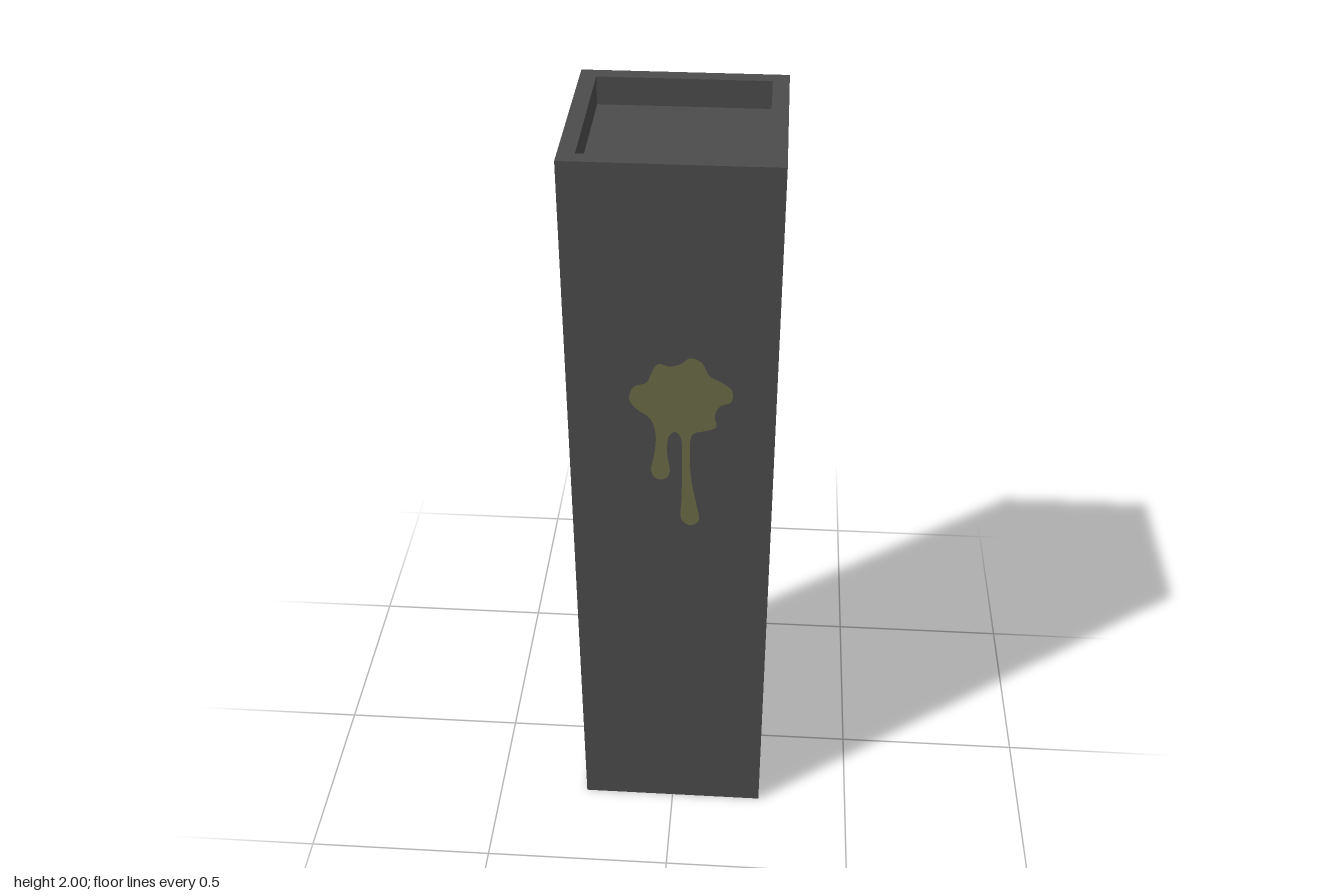
import * as THREE from 'three';

export function createModel() {
  const model = new THREE.Group();
  const metal = new THREE.MeshStandardMaterial({ color: 0x4c4c4c });
  metal.name = 'dark grey metal';
  const slime = new THREE.MeshStandardMaterial({ color: 0x6b6b47 });
  slime.name = 'olive stain';

  const Q = Math.PI / 2;
  const turns = {
    front: [0, 0, 0], back: [0, 2 * Q, 0], left: [0, Q, 0],
    right: [0, -Q, 0], up: [-Q, 0, 0], down: [Q, 0, 0],
  };

  // One flat sheet facing the given way, with an optional rectangular hole
  function panel(group, name, facing, w, h, position, hole) {
    const shape = new THREE.Shape([[-w, -h], [w, -h], [w, h], [-w, h]]
      .map(([x, y]) => new THREE.Vector2(x / 2, y / 2)));
    if (hole) {
      const [x, y0, y1] = hole;
      shape.holes.push(new THREE.Path([[-x, y0], [-x, y1], [x, y1], [x, y0]]
        .map((p) => new THREE.Vector2(...p))));
    }
    const mesh = new THREE.Mesh(new THREE.ShapeGeometry(shape), metal);
    mesh.name = name;
    mesh.rotation.set(...turns[facing]);
    mesh.position.set(...position);
    group.add(mesh);
  }

  function part(name) {
    const group = new THREE.Group();
    group.name = name;
    model.add(group);
    return group;
  }

  // Outer casing, with the side opening and the hollow top
  const casing = part('casing');
  panel(casing, 'frontPanel', 'front', 0.5, 2, [0, 1, 0.25]);
  panel(casing, 'backPanel', 'back', 0.5, 2, [0, 1, -0.25]);
  panel(casing, 'openingPanel', 'left', 0.5, 2, [0.25, 1, 0], [0.2, 0.4, 0.8]);
  panel(casing, 'plainSidePanel', 'right', 0.5, 2, [-0.25, 1, 0]);
  panel(casing, 'topRim', 'up', 0.5, 0.5, [0, 2, 0], [0.21, -0.21, 0.21]);
  panel(casing, 'base', 'down', 0.5, 0.5, [0, 0, 0]);

  // Shallow tray sunk into the top
  const tray = part('topTray');
  const depth = 0.07;
  panel(tray, 'trayFloor', 'up', 0.42, 0.42, [0, 2 - depth, 0]);
  for (const [facing, x, z] of [['front', 0, -1], ['back', 0, 1], ['left', -1, 0], ['right', 1, 0]]) {
    panel(tray, 'trayWall', facing, 0.42, depth, [x * 0.21, 2 - depth / 2, z * 0.21]);
  }

  // Hollow chamber behind the opening
  const chamber = part('chamber');
  panel(chamber, 'chamberCeiling', 'down', 0.45, 0.4, [0.025, 1.8, 0]);
  panel(chamber, 'chamberFloor', 'up', 0.4, 0.4, [0, 0.05, 0]);
  panel(chamber, 'chamberBackWall', 'front', 0.45, 1.75, [0.025, 0.925, -0.2]);
  panel(chamber, 'chamberFrontWall', 'back', 0.45, 1.75, [0.025, 0.925, 0.2]);
  panel(chamber, 'chamberFarWall', 'left', 0.4, 1.75, [-0.2, 0.925, 0]);
  panel(chamber, 'chamberNearWall', 'right', 0.4, 1.35, [0.2, 0.725, 0]);
  panel(chamber, 'openingSill', 'up', 0.05, 0.4, [0.225, 1.4, 0]);

  // Dripping stain on the front
  const outline = [
    [-0.1, 1.39], [-0.085, 1.365], [-0.05, 1.335], [-0.038, 1.29], [-0.042, 1.23],
    [-0.05, 1.18], [-0.038, 1.157], [-0.015, 1.157], [-0.004, 1.18], [-0.01, 1.23],
    [-0.006, 1.285], [0.008, 1.3], [0.022, 1.285], [0.026, 1.2], [0.025, 1.1],
    [0.025, 1.03], [0.046, 1.013], [0.068, 1.028], [0.062, 1.08], [0.05, 1.15],
    [0.045, 1.24], [0.052, 1.295], [0.08, 1.305], [0.108, 1.318], [0.104, 1.35],
    [0.115, 1.378], [0.142, 1.392], [0.144, 1.425], [0.122, 1.445], [0.09, 1.465],
    [0.072, 1.5], [0.045, 1.512], [0.02, 1.493], [-0.005, 1.487], [-0.03, 1.493],
    [-0.045, 1.47], [-0.058, 1.44], [-0.09, 1.425],
  ].map(([x, y]) => new THREE.Vector3(x, y, 0));
  const curve = new THREE.CatmullRomCurve3(outline, true);
  const stainShape = new THREE.Shape(curve.getPoints(150).slice(0, -1)
    .map((p) => new THREE.Vector2(p.x, p.y)));
  const stain = new THREE.Mesh(new THREE.ShapeGeometry(stainShape), slime);
  stain.name = 'drippingStain';
  stain.position.z = 0.2515;
  model.add(stain);

  return model;
}
